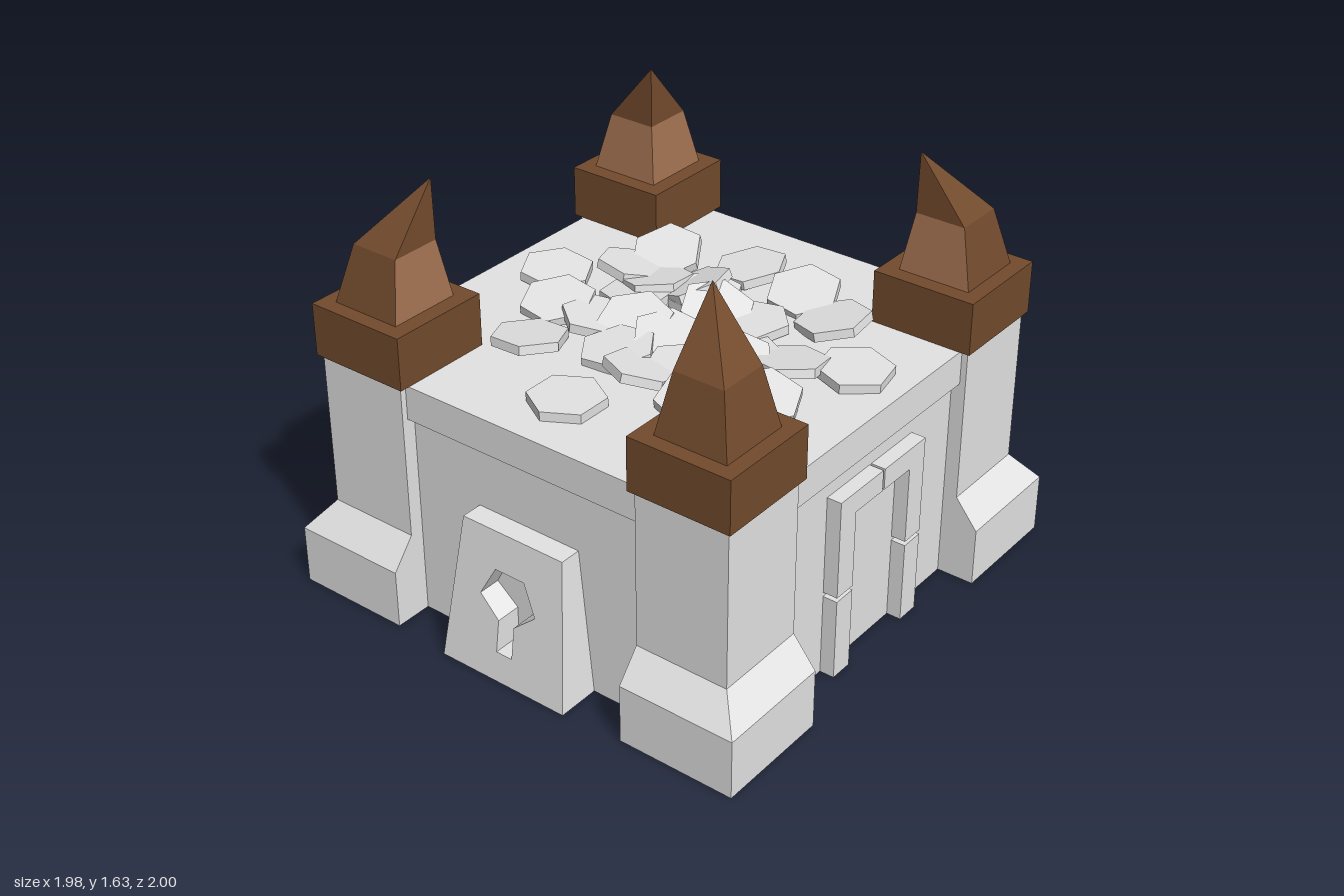
import * as THREE from 'three';

const mat = (name, color) => {
  const m = new THREE.MeshStandardMaterial({ color, side: THREE.DoubleSide });
  m.name = name;
  return m;
};

// Loft through rectangular rings [x0, x1, z0, z1, y], bottom open, top closed.
// pick(side, step) gives the material index; sides are 0:+z 1:+x 2:-z 3:-x.
function loft(rings, pick = () => 0) {
  const pos = [];
  const geo = new THREE.BufferGeometry();
  const corners = rings.map(([x0, x1, z0, z1, y]) =>
    [[x0, y, z1], [x1, y, z1], [x1, y, z0], [x0, y, z0]]);
  const quad = (a, b, c, d, m) => {
    geo.addGroup(pos.length / 3, 6, m);
    pos.push(...a, ...b, ...c, ...a, ...c, ...d);
  };
  for (let s = 0; s < rings.length - 1; s++) {
    for (let i = 0; i < 4; i++) {
      const j = (i + 1) % 4;
      quad(corners[s][i], corners[s][j], corners[s + 1][j], corners[s + 1][i], pick(i, s));
    }
  }
  quad(...corners[rings.length - 1], 0);
  geo.setAttribute('position', new THREE.Float32BufferAttribute(pos, 3));
  geo.computeVertexNormals();
  return geo;
}

export function createModel() {
  const stone = mat('stone', 0xe4e4e4);
  const brown = mat('brown', 0x734b2d);
  const lightBrown = mat('lightBrown', 0xa0704f);
  const root = new THREE.Group();
  root.name = 'keep';
  const fort = new THREE.Group();
  fort.name = 'fort';
  fort.position.z = -0.01;
  root.add(fort);

  const add = (parent, name, geo, material, x = 0, y = 0, z = 0) => {
    const m = new THREE.Mesh(geo, material);
    m.name = name;
    m.position.set(x, y, z);
    parent.add(m);
    return m;
  };
  const box = (w, h, d) => new THREE.BoxGeometry(w, h, d);

  // Main walls with an overhanging top band
  const square = (r, y) => [-r, r, -r, r, y];
  add(fort, 'walls', loft([square(0.84, 0), square(0.84, 0.83), square(0.873, 0.83), square(0.873, 0.968)]), stone);

  // Corner towers: flared foot, square cap, leaning horn
  for (const sx of [-1, 1]) for (const sz of [-1, 1]) {
    const ring = (inner, outer, y) => [
      Math.min(sx * inner, sx * outer), Math.max(sx * inner, sx * outer),
      Math.min(sz * inner, sz * outer), Math.max(sz * inner, sz * outer), y];
    const tower = new THREE.Group();
    tower.name = 'tower';
    fort.add(tower);
    add(tower, 'towerShaft', loft([
      ring(0.52, 0.99, 0), ring(0.52, 0.99, 0.235), ring(0.52, 0.897, 0.35), ring(0.52, 0.897, 0.98),
    ]), stone);
    add(tower, 'towerCap', box(0.413, 0.207, 0.413), brown, sx * 0.707, 1.073, sz * 0.707);
    const innerSides = [sz > 0 ? 2 : 0, sx > 0 ? 3 : 1];
    add(tower, 'horn', loft([
      ring(0.565, 0.855, 1.176), ring(0.6, 0.8, 1.4), ring(0.603, 0.605, 1.635),
    ], (side, step) => (step === 0 && innerSides.includes(side) ? 1 : 0)), [brown, lightBrown]);
  }

  // Block archways through the two side walls and the back wall
  for (const angle of [Math.PI / 2, Math.PI, -Math.PI / 2]) {
    const arch = new THREE.Group();
    arch.name = 'archway';
    arch.rotation.y = angle;
    fort.add(arch);
    for (const s of [-1, 1]) {
      add(arch, 'lowerPost', box(0.095, 0.328, 0.1), stone, s * 0.2155, 0.164, 0.848);
      add(arch, 'upperPost', box(0.095, 0.395, 0.1), stone, s * 0.2155, 0.5425, 0.848);
      add(arch, 'lintel', box(0.163, 0.085, 0.1), stone, s * 0.0865, 0.6975, 0.848);
    }
  }

  // Sloping front slab with a keyhole, each outline mirrored from its right half
  const mirrored = half => [...half, ...half.toReversed().map(([x, y]) => [-x, y])]
    .map(([x, y]) => new THREE.Vector2(x, y));
  const slab = new THREE.Shape(mirrored([[0.28, 0], [0.225, 0.575]]));
  slab.holes.push(new THREE.Path(mirrored([[0.035, 0.115], [0.035, 0.24], [0.125, 0.315], [0.065, 0.43]])));
  const slabGeo = new THREE.ExtrudeGeometry(slab, { depth: 1, bevelEnabled: false });
  const p = slabGeo.attributes.position;
  for (let i = 0; i < p.count; i++) {
    p.setZ(i, p.getZ(i) > 0.5 ? 1.01 - p.getY(i) * 0.148 : 0.8);
  }
  slabGeo.computeVertexNormals();
  add(fort, 'frontSlab', slabGeo, stone);
  add(fort, 'keyholeBack', box(0.28, 0.34, 0.076), stone, 0, 0.27, 0.836);

  // Hexagonal roof slabs; the more one leans, the higher it is propped up
  const hex = new THREE.CylinderGeometry(0.143, 0.143, 0.036, 6).toNonIndexed();
  hex.computeVertexNormals();
  const addPlate = (x, z, leanX, leanZ, turn) => {
    const y = 0.986 + 0.08 * Math.hypot(leanX, leanZ);
    add(root, 'roofSlab', hex, stone, x, y, z).rotation.set(leanZ, turn, -leanX, 'XZY');
  };
  // Upper layer: x, z, lean toward +x, lean toward +z, turn
  [
    [0, 0.61, 0, 0, 0], [0.67, -0.15, 0.04, 0, 0.2], [-0.63, -0.07, 0.08, 0.02, 0.5],
    [-0.06, -0.53, -0.12, 0.08, 0.45], [0.22, -0.48, 0.06, 0.24, 0.4], [0.42, -0.38, -0.18, 0.05, 0.1],
    [-0.36, -0.4, 0.05, 0.38, 0.5], [-0.41, -0.26, 0.1, -0.2, 0.4], [-0.28, -0.23, -0.16, -0.12, 0.1],
    [0.05, -0.17, 0.3, 0.14, 0.45], [0.47, -0.04, -0.1, -0.16, 0.2], [0.31, 0.07, 0.24, 0.12, 0.7],
    [-0.46, 0.12, 0.05, 0.16, 0.4], [-0.13, 0.08, 0.1, 0.3, 0.2], [0.03, 0.08, 0.18, 0.1, 0.6],
    [0.54, 0.22, 0.15, 0.15, 0.4], [0.36, 0.36, 0.05, 0.2, 0.2], [0.1, 0.32, 0.08, -0.24, 0.1],
    [-0.37, 0.38, -0.08, -0.12, 0.45], [-0.12, -0.26, -0.38, 0.05, 0.3],
  ].forEach(plate => addPlate(...plate));
  // Lower layer, spread around the middle
  for (let i = 0; i < 7; i++) {
    const a = i * Math.PI * 2 / 7;
    addPlate(0.3 * Math.cos(a), 0.26 * Math.sin(a), 0.08 * Math.sin(3 * a), -0.1 * Math.cos(2 * a), i * 0.3);
  }
  return root;
}
